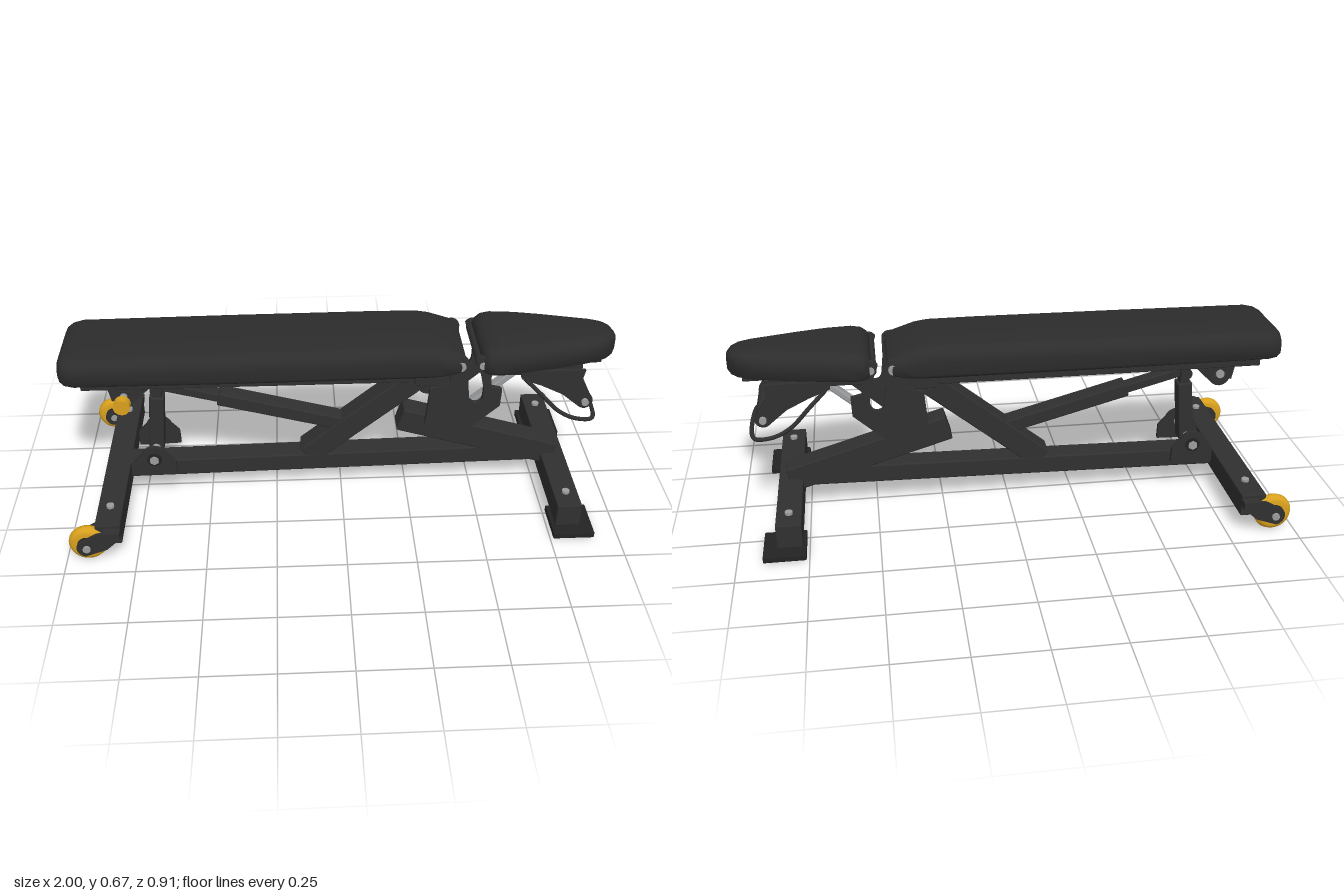
import * as THREE from 'three';
import { RoundedBoxGeometry } from 'three/addons/geometries/RoundedBoxGeometry.js';
import { toCreasedNormals } from 'three/addons/utils/BufferGeometryUtils.js';

const mat = (name, color) => {
  const m = new THREE.MeshStandardMaterial({ color });
  m.name = name;
  return m;
};

export function createModel() {
  const root = new THREE.Group();
  root.name = 'adjustableBench';
  const frame = mat('charcoalFrame', 0x303030);
  const vinyl = mat('blackVinyl', 0x2c2c2c);
  const yellow = mat('yellow', 0xd9a11e);
  const steel = mat('steel', 0x9a9c9e);
  const rubber = mat('darkRubber', 0x232323);

  const add = (name, geo, m, x = 0, y = 0, z = 0) => {
    const mesh = new THREE.Mesh(geo, m);
    mesh.name = name;
    mesh.position.set(x, y, z);
    root.add(mesh);
    return mesh;
  };
  const box = (name, x0, x1, y0, y1, z0, z1, m = frame) =>
    add(name, new RoundedBoxGeometry(x1 - x0, y1 - y0, z1 - z0, 2, 0.004), m,
      (x0 + x1) / 2, (y0 + y1) / 2, (z0 + z1) / 2);
  // Square tube between two points of the side plane
  const beam = (name, x1, y1, x2, y2, h, d, m = frame) => {
    const len = Math.hypot(x2 - x1, y2 - y1);
    const b = add(name, new RoundedBoxGeometry(len, h, d, 2, 0.006), m, (x1 + x2) / 2, (y1 + y2) / 2, 0);
    b.rotation.z = Math.atan2(y2 - y1, x2 - x1);
  };
  // Round bar across the bench
  const pin = (name, x, y, z0, z1, r, m = steel, sides = 20) => {
    const c = add(name, new THREE.CylinderGeometry(r, r, Math.abs(z1 - z0), sides), m, x, y, (z0 + z1) / 2);
    c.rotation.x = Math.PI / 2;
  };
  const plate = (name, pts, t, z, m = frame) => {
    const shape = new THREE.Shape(pts.map(p => new THREE.Vector2(p[0], p[1])));
    const geo = new THREE.ExtrudeGeometry(shape, { depth: t, bevelEnabled: false });
    add(name, toCreasedNormals(geo, 0.6), m, 0, 0, z - t / 2);
  };
  const arc = (x, y, r, a0, a1, n = 8) => Array.from({ length: n + 1 }, (_, i) => {
    const a = THREE.MathUtils.degToRad(a0 + (a1 - a0) * i / n);
    return [x + r * Math.cos(a), y + r * Math.sin(a)];
  });

  // Cushion lofted along x from stations [x, half width, bottom, top]
  const pad = (name, stations) => {
    const pos = [], idx = [];
    const first = stations[0], last = stations[stations.length - 1];
    const cap = s => [s[0], 0.002, (s[2] + s[3]) / 2 - 0.001, (s[2] + s[3]) / 2 + 0.001];
    const rows = [cap(first), ...stations, cap(last)];
    let n = 0;
    for (const [x, w, b, t] of rows) {
      const rt = Math.min(0.05, w * 0.45, (t - b) * 0.6), rb = Math.min(0.014, w * 0.3, (t - b) * 0.2);
      const ring = [
        ...arc(w - rb, b + rb, rb, -90, 0, 3), ...arc(w - rt, t - rt, rt, 0, 90, 6),
        ...arc(-w + rt, t - rt, rt, 90, 180, 6), ...arc(-w + rb, b + rb, rb, 180, 270, 3)];
      n = ring.length;
      ring.forEach(([z, y]) => pos.push(x, y, z));
    }
    for (let i = 0; i < rows.length - 1; i++) for (let j = 0; j < n; j++) {
      const k = (j + 1) % n, a = i * n, c = a + n;
      idx.push(a + j, c + j, a + k, c + j, c + k, a + k);
    }
    const geo = new THREE.BufferGeometry();
    geo.setAttribute('position', new THREE.Float32BufferAttribute(pos, 3));
    geo.setIndex(idx);
    add(name, toCreasedNormals(geo, 0.9), vinyl);
  };
  pad('backPad', [
    [-1, 0.13, 0.58, 0.635], [-0.992, 0.15, 0.572, 0.65], [-0.975, 0.167, 0.567, 0.658],
    [-0.94, 0.177, 0.565, 0.663], [-0.4, 0.176, 0.563, 0.669], [0.1, 0.171, 0.562, 0.674],
    [0.28, 0.169, 0.562, 0.674], [0.33, 0.167, 0.562, 0.667], [0.38, 0.163, 0.565, 0.652],
    [0.42, 0.155, 0.572, 0.638], [0.438, 0.143, 0.585, 0.625]]);
  pad('seatPad', [
    [0.495, 0.135, 0.58, 0.625], [0.505, 0.155, 0.57, 0.645], [0.525, 0.167, 0.566, 0.657],
    [0.56, 0.17, 0.565, 0.662], [0.65, 0.157, 0.565, 0.664], [0.75, 0.137, 0.565, 0.663],
    [0.86, 0.112, 0.565, 0.661], [0.92, 0.094, 0.565, 0.659], [0.96, 0.075, 0.566, 0.656],
    [0.985, 0.052, 0.569, 0.649], [1, 0.025, 0.58, 0.635]]);

  // Base: spine, cross bars, feet
  beam('baseSpine', -0.85, 0.108, 0.81, 0.136, 0.07, 0.09);
  box('rearCrossBar', -0.89, -0.8, 0.06, 0.143, -0.415, 0.415);
  box('frontCrossBar', 0.77, 0.86, 0.038, 0.13, -0.37, 0.37);
  beam('frontLeg', 0.222, 0.303, 0.82, 0.122, 0.095, 0.09);
  beam('diagonalPost', -0.13, 0.145, 0.345, 0.53, 0.085, 0.088);

  // Telescoping adjuster
  beam('adjusterSleeve', -0.455, 0.41, 0.0, 0.285, 0.052, 0.07);
  beam('adjusterInner', -0.69, 0.473, -0.44, 0.405, 0.034, 0.05);
  beam('strut', -0.7, 0.18, -0.68, 0.42, 0.055, 0.06);
  beam('strutInner', -0.68, 0.41, -0.675, 0.48, 0.035, 0.045);
  pin('strutCollar', -0.678, 0.465, -0.045, 0.045, 0.022, frame);
  pin('strutAxle', -0.7, 0.2, -0.115, 0.115, 0.016);

  // Frames under the cushions
  box('backFrame', -0.93, 0.34, 0.54, 0.565, -0.12, 0.12);
  box('seatFrame', 0.52, 0.95, 0.545, 0.567, -0.06, 0.06);
  box('seatFrameWide', 0.52, 0.87, 0.53, 0.567, -0.108, 0.108);
  box('backFrameCrossEnd', -0.93, -0.9, 0.52, 0.55, -0.12, 0.12);
  pin('backHingeTube', 0.42, 0.595, -0.14, 0.14, 0.022, frame);
  pin('seatHingeTube', 0.5, 0.595, -0.14, 0.14, 0.022, frame);
  pin('postCrossTube', 0.36, 0.5, -0.13, 0.13, 0.028, frame);
  pin('hookCrossTube', 0.4, 0.345, -0.13, 0.13, 0.025, frame);
  pin('seatRoller', 0.885, 0.428, -0.12, 0.12, 0.028, frame);
  beam('seatLink', 0.45, 0.315, 0.68, 0.515, 0.024, 0.04, steel);

  const hook = [
    ...arc(0.42, 0.6, 0.032, 20, 180), [0.385, 0.53], [0.315, 0.5], [0.302, 0.36],
    ...arc(0.345, 0.35, 0.043, 190, 270, 4), [0.425, 0.305], [0.455, 0.32], [0.572, 0.425],
    [0.575, 0.495], [0.535, 0.505], ...arc(0.5, 0.6, 0.03, 0, 150, 6),
    [0.497, 0.55], [0.508, 0.5], ...arc(0.482, 0.463, 0.025, 0, -180, 6), [0.45, 0.53]];
  const gusset = [[-0.78, 0.125], [-0.62, 0.13], [-0.622, 0.185], ...arc(-0.7, 0.2, 0.052, 20, 160), [-0.78, 0.185]];
  const knobBracket = [[-0.84, 0.545], [-0.825, 0.47], ...arc(-0.78, 0.487, 0.04, 200, 310, 5), [-0.69, 0.52], [-0.69, 0.545]];
  const rollerBracket = [[0.64, 0.56], [0.645, 0.53], [0.72, 0.5], [0.8, 0.46], ...arc(0.885, 0.428, 0.03, 235, 380, 7), [0.865, 0.515], [0.875, 0.56]];
  const forkPlate = [...arc(-0.92, 0.068, 0.036, 100, 260), [-0.85, 0.06], [-0.8, 0.105], [-0.8, 0.13], [-0.88, 0.13]];

  // Tyre profile turned around the axle
  const tyre = [[0.03, -0.022], [0.05, -0.022], [0.062, -0.017], [0.068, -0.006],
    [0.068, 0.006], [0.062, 0.017], [0.05, 0.022], [0.03, 0.022]].map(p => new THREE.Vector2(...p));

  for (const s of [1, -1]) {
    plate('hingeHook', hook, 0.02, s * 0.135);
    plate('strutGusset', gusset, 0.016, s * 0.1);
    plate('knobBracket', knobBracket, 0.016, s * 0.11);
    plate('rollerBracket', rollerBracket, 0.014, s * 0.128);
    box('backRail', -0.93, 0.33, 0.52, 0.555, s * 0.11 - 0.012, s * 0.11 + 0.012);
    box('hingeBlock', 0.26, 0.39, 0.512, 0.562, s * 0.125 - 0.01, s * 0.125 + 0.01);
    pin('backHingeBolt', 0.42, 0.597, s * 0.14, s * 0.153, 0.018);
    pin('seatHingeBolt', 0.5, 0.597, s * 0.14, s * 0.15, 0.014);
    pin('rollerBolt', 0.885, 0.428, s * 0.13, s * 0.148, 0.013);
    pin('gussetWasher', -0.7, 0.2, s * 0.108, s * 0.114, 0.027, rubber);
    pin('gussetBolt', -0.7, 0.2, s * 0.11, s * 0.12, 0.018, steel, 6);

    // Front feet and cross bar bolts
    box('footPad', 0.76, 0.91, 0.004, 0.028, s * 0.32 - 0.083, s * 0.32 + 0.083, rubber);
    box('footSpacer', 0.79, 0.84, 0.025, 0.042, s * 0.31 - 0.03, s * 0.31 + 0.03);
    add('frontBarBolt', new THREE.CylinderGeometry(0.014, 0.014, 0.012, 12), steel, 0.815, 0.134, s * 0.29);
    add('rearBarBolt', new THREE.CylinderGeometry(0.014, 0.014, 0.012, 12), steel, -0.845, 0.147, s * 0.31);

    // Transport wheel in its fork
    const wheel = add('wheelTyre', new THREE.LatheGeometry(tyre, 36), yellow, -0.92, 0.068, s * 0.408);
    wheel.rotation.x = Math.PI / 2;
    pin('wheelHub', -0.92, 0.068, s * 0.385, s * 0.431, 0.036, rubber);
    plate('wheelForkOuter', forkPlate, 0.01, s * 0.443);
    plate('wheelForkInner', forkPlate, 0.01, s * 0.372);
    box('forkSpacer', -0.86, -0.8, 0.1, 0.13, s * 0.41 - 0.033, s * 0.41 + 0.033);
    pin('wheelBolt', -0.92, 0.068, s * 0.362, s * 0.456, 0.014, steel, 12);
  }

  // Pop-pin knob
  pin('knobShaft', -0.78, 0.495, 0.1, 0.17, 0.014);
  pin('knob', -0.78, 0.495, 0.165, 0.2, 0.03, yellow, 12);
  pin('knobSocket', -0.78, 0.495, -0.1, 0.125, 0.022, frame);
  pin('farPinBolt', -0.78, 0.495, -0.125, -0.11, 0.016);

  // Bent rod lever under the seat
  const half = [[0.66, 0.52, 0.115], [0.72, 0.465, 0.135], [0.79, 0.395, 0.145], [0.85, 0.365, 0.15], [0.91, 0.358, 0.148], [0.928, 0.357, 0.12]];
  const path = [...half, ...half.map(([x, y, z]) => [x, y, -z]).reverse()].map(p => new THREE.Vector3(...p));
  add('seatLever', new THREE.TubeGeometry(new THREE.CatmullRomCurve3(path, false, 'centripetal'), 80, 0.008, 8), frame);

  return root;
}
